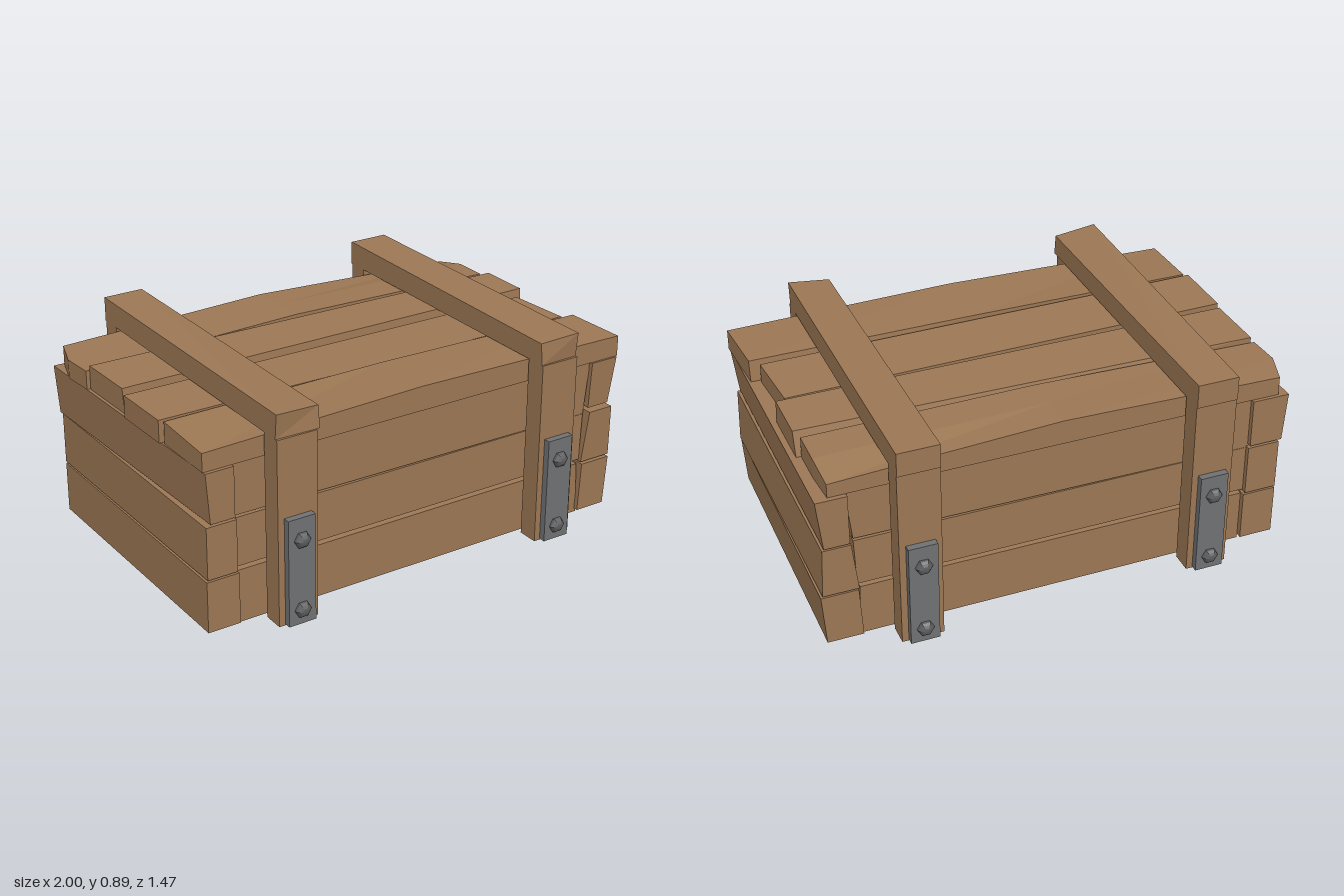
import * as THREE from 'three';

const wood = new THREE.MeshStandardMaterial({ name: 'wood', color: 0x9b7653, flatShading: true });
const metal = new THREE.MeshStandardMaterial({ name: 'plate metal', color: 0x6f7072, flatShading: true });
const boltMetal = new THREE.MeshStandardMaterial({ name: 'bolt metal', color: 0x5c5c5e, flatShading: true });

// Rough-hewn board between bounds; warp(sx, sy, sz) returns a nudge for each point (signs -1..1).
function board(name, [x0, x1], [y0, y1], [z0, z1], warp = () => [0, 0, 0], segs = [1, 1, 1]) {
  const g = new THREE.BoxGeometry(2, 2, 2, ...segs);
  const p = g.attributes.position;
  for (let i = 0; i < p.count; i++) {
    const sx = p.getX(i), sy = p.getY(i), sz = p.getZ(i);
    const [dx, dy, dz] = warp(sx, sy, sz);
    p.setXYZ(i,
      (x0 + x1) / 2 + sx * (x1 - x0) / 2 + dx,
      (y0 + y1) / 2 + sy * (y1 - y0) / 2 + dy,
      (z0 + z1) / 2 + sz * (z1 - z0) / 2 + dz);
  }
  const flat = g.toNonIndexed();
  flat.computeVertexNormals();
  const m = new THREE.Mesh(flat, wood);
  m.name = name;
  return m;
}

export function createModel() {
  const crate = new THREE.Group();
  crate.name = 'crate';

  // Lid boards, back to front, with uneven ends
  crate.add(
    board('lidBoard1', [-0.965, 0.945], [0.69, 0.785], [-0.58, -0.3], (x, y, z) => [
      x < 0 ? (z === 0 ? -0.03 : z > 0 ? -0.02 : 0.015) : (z < 0 ? -0.005 : 0.005),
      y > 0 ? (x > 0 ? (z < 0 ? -0.035 : -0.005) : x < 0 ? -0.015 : 0.01) : 0,
      x > 0 && z > 0 ? 0.01 : 0], [2, 1, 2]),
    board('lidBoard2', [-0.963, 0.97], [0.69, 0.792], [-0.285, -0.03], (x, y, z) => [
      z < 0 && x < 0 ? -0.008 : 0, 0,
      z < 0 ? (x < 0 ? -0.01 : 0.03 * (y > 0)) : (y > 0 ? 0 : 0.012)]),
    board('lidBoard3', [-0.985, 0.935], [0.69, 0.785], [0.005, 0.285], (x, y, z) => [
      x > 0 ? 0.01 * z : -0.01 * z * (z < 0 ? 0.5 : -1),
      x > 0 && y > 0 ? -0.012 : 0, x < 0 && z < 0 ? 0.01 : 0]),
    board('lidBoard4', [-0.96, 0.992], [0.69, 0.79], [0.3, 0.585], (x, y, z) => [
      x > 0 ? 0.008 * z : 0,
      y > 0 ? (z > 0 ? (x < 0 ? -0.022 : x > 0 ? -0.012 : 0.004) : -0.008 * Math.abs(x)) : 0,
      z < 0 && y > 0 && x > 0 ? 0.012 : 0], [2, 1, 1]),
  );

  // Long side boards, mirrored front and back
  const rows = [[0.005, 0.232], [0.25, 0.458], [0.464, 0.688]];
  const longEnds = [[-0.82, 0.832], [-0.83, 0.842], [-0.838, 0.858]];
  for (const s of [1, -1]) {
    rows.forEach((r, i) => crate.add(board(
      (s > 0 ? 'front' : 'back') + 'Board' + (i + 1), longEnds[i], r,
      s > 0 ? [0.455, 0.57] : [-0.57, -0.455],
      (x, y) => [x > 0 ? 0.008 * y * (i - 0.5) : 0, i === 2 && y < 0 ? -0.005 * s * x : 0, 0])));
  }

  // End boards: each warped a little differently
  const endRows = [[0.02, 0.237], [0.245, 0.466], [0.476, 0.688]];
  const rightWarps = [
    (x, y, z) => [x > 0 ? 0.008 * y + (z < 0 ? 0.008 : -0.004) : 0.006 * y, y > 0 ? 0.004 * z * -1 : 0, 0],
    (x, y, z) => [x > 0 ? -0.004 * y : 0.012 * y, y > 0 ? 0.004 * z : 0.003 * z * -1, z > 0 ? 0.006 * y : 0],
    (x, y, z) => [x > 0 ? 0.012 * y : 0.004, y < 0 ? 0.007 * z : 0, z > 0 && y < 0 ? -0.012 : 0],
  ];
  const leftWarps = [
    (x, y, z) => [x < 0 && z < 0 ? -0.004 : 0, 0, 0],
    (x, y, z) => [x > 0 ? 0 : 0.004 * z, 0, 0],
    (x, y, z) => [x < 0 ? (z > 0 ? 0.015 + 0.008 * -y : -0.022 - 0.008 * y) : 0, 0, 0],
  ];
  const rightX = [[0.835, 0.978], [0.85, 0.982], [0.862, 0.982]];
  endRows.forEach((r, i) => {
    crate.add(board('leftEndBoard' + (i + 1), rightX[i], r, [-0.597, 0.59], rightWarps[i]));
    crate.add(board('rightEndBoard' + (i + 1), [-0.962, -0.822 - 0.006 * i], r, [-0.592, 0.597], leftWarps[i]));
  });

  // Two strap frames: top batten, posts, metal plates and bolts
  const plateGeo = new THREE.BoxGeometry(0.12, 0.455, 0.03);
  const boltGeo = new THREE.SphereGeometry(0.036, 6, 4, 0, Math.PI * 2, 0, Math.PI / 2);
  for (const s of [-1, 1]) {
    const cx = 0.615 * s;
    const frame = new THREE.Group();
    frame.name = s < 0 ? 'rightFrame' : 'leftFrame';
    frame.add(board('batten', [cx - 0.087, cx + 0.087], [0.79, 0.893], [-0.688, 0.673], (x, y, z) => [
      z > 0 && x * s < 0 ? (s < 0 ? 0.016 : 0) : 0,
      z > 0 && y > 0 && x * s < 0 ? -0.013 : 0,
      z > 0 ? (x * s > 0 ? 0.008 : -0.008) * (y > 0 ? 1 : -0.3) : 0]));
    for (const f of [1, -1]) {
      const side = f > 0 ? 'front' : 'back';
      frame.add(board(side + 'Post', [cx - 0.087, cx + 0.087], [0.003, 0.79],
        f > 0 ? [0.592, 0.682] : [-0.682, -0.592]));
      const plate = new THREE.Mesh(plateGeo, metal);
      plate.name = side + 'Plate';
      plate.position.set(cx, 0.235, f * 0.696);
      frame.add(plate);
      for (const y of [0.07, 0.37]) {
        const bolt = new THREE.Mesh(boltGeo, boltMetal);
        bolt.name = side + 'Bolt';
        bolt.scale.y = 0.75;
        bolt.rotation.x = f * Math.PI / 2;
        bolt.position.set(cx, y, f * 0.71);
        frame.add(bolt);
      }
    }
    crate.add(frame);
  }
  return crate;
}
